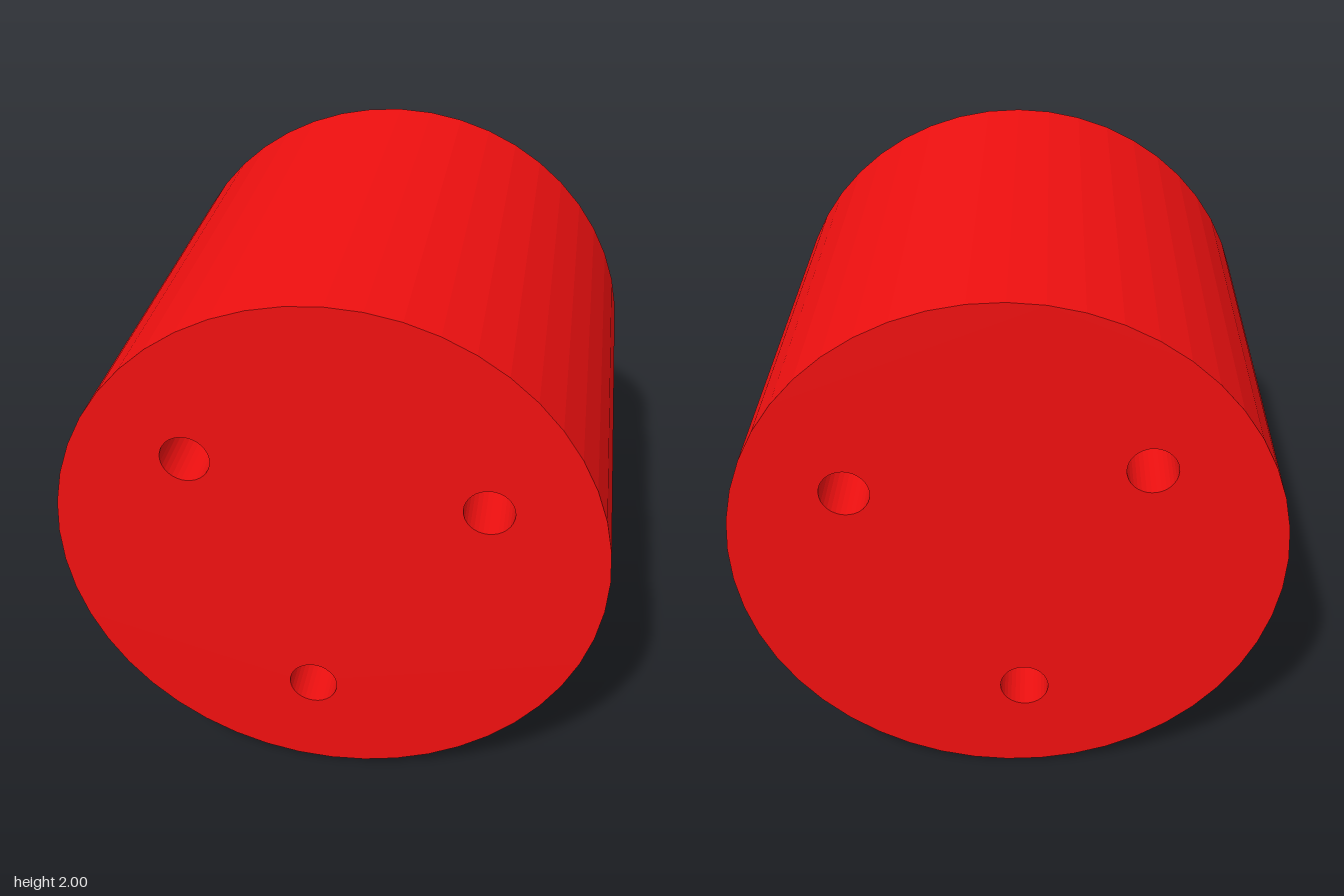
import * as THREE from 'three';

const LENGTH = 1.86;
const HOLE_COUNT = 3;
const HOLE_RADIUS = 0.09;
const HOLE_CIRCLE = 0.62;
const FIRST_HOLE = THREE.MathUtils.degToRad(24);

// Points of a regular polygon approximating a circle
function ring(x, y, radius, sides) {
  return Array.from({ length: sides }, (_, i) => {
    const a = (i / sides) * Math.PI * 2;
    return new THREE.Vector2(x + radius * Math.cos(a), y + radius * Math.sin(a));
  });
}

export function createModel() {
  const group = new THREE.Group();
  group.name = 'drilledCylinder';

  // Round section with three evenly spaced through holes
  const section = new THREE.Shape(ring(0, 0, 1, 48));
  for (let i = 0; i < HOLE_COUNT; i++) {
    const a = FIRST_HOLE + (i / HOLE_COUNT) * Math.PI * 2;
    const hole = ring(HOLE_CIRCLE * Math.cos(a), HOLE_CIRCLE * Math.sin(a), HOLE_RADIUS, 32);
    section.holes.push(new THREE.Path(hole));
  }

  // Solid body lying along z
  const geometry = new THREE.ExtrudeGeometry(section, { depth: LENGTH, bevelEnabled: false });
  geometry.translate(0, 1, -LENGTH / 2);
  const body = new THREE.Mesh(
    geometry,
    new THREE.MeshStandardMaterial({ color: 0xf01010, flatShading: true })
  );
  body.name = 'cylinderBody';
  group.add(body);

  return group;
}
